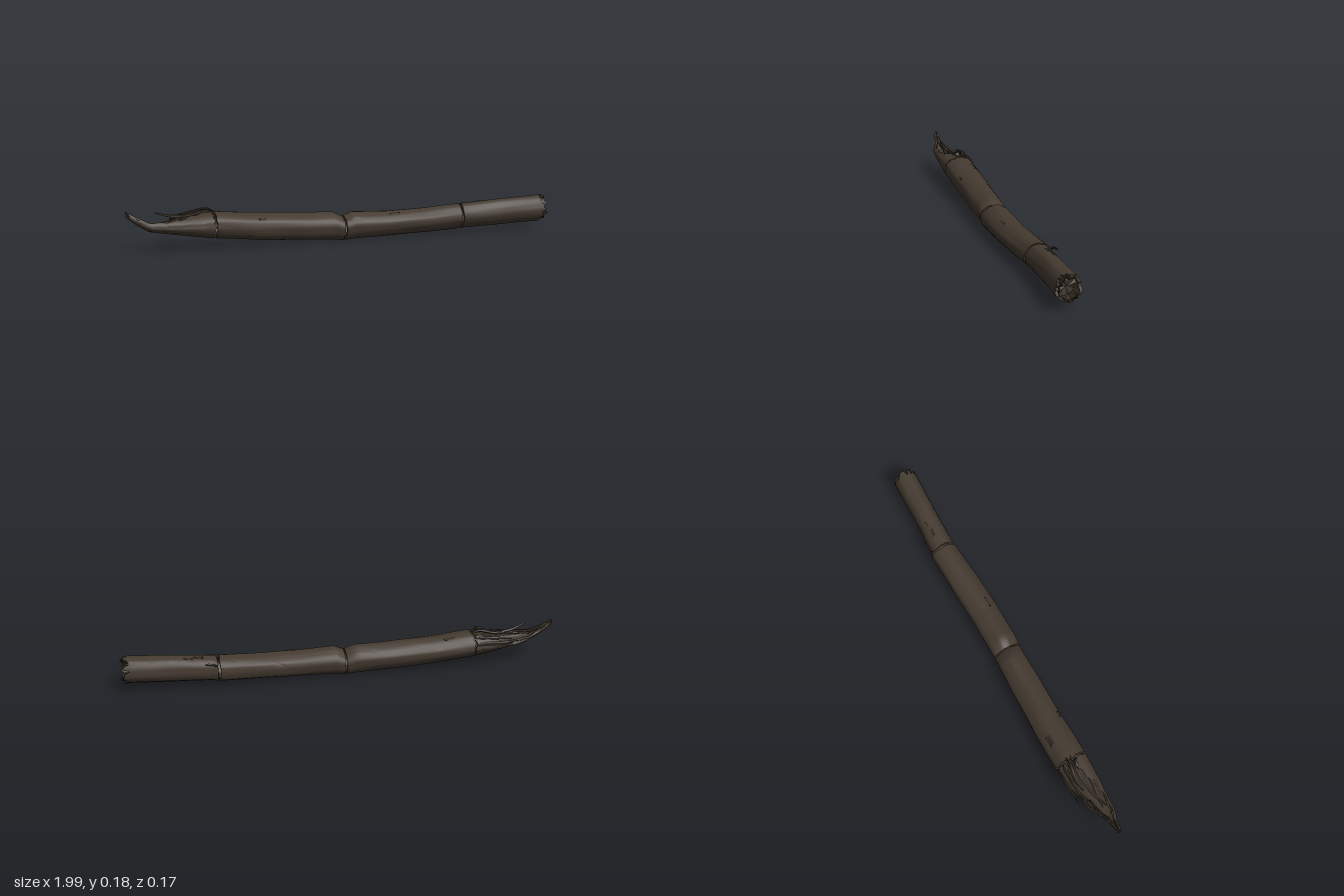
import * as THREE from 'three';
import { toCreasedNormals } from 'three/addons/utils/BufferGeometryUtils.js';

const TAU = Math.PI * 2;
const hash = (a, b) => {
  const s = Math.sin(a * 127.1 + b * 311.7) * 43758.5453;
  return s - Math.floor(s);
};

// Trunk cross-sections: x, top y, bottom y, back z, front z
const SECTIONS = [
  [-1.0, 0.187, 0.16, -0.012, 0.008], [-0.95, 0.158, 0.122, -0.012, 0.018],
  [-0.9, 0.135, 0.093, -0.02, 0.042], [-0.8, 0.142, 0.074, -0.05, 0.05],
  [-0.7, 0.155, 0.058, -0.078, 0.06], [-0.6, 0.162, 0.044, -0.085, 0.066],
  [-0.4, 0.146, 0.024, -0.08, 0.066], [-0.2, 0.136, 0.013, -0.068, 0.069],
  [-0.06, 0.132, 0.006, -0.06, 0.07], [-0.015, 0.112, 0.003, -0.055, 0.074],
  [0.03, 0.132, 0.006, -0.055, 0.077], [0.2, 0.124, 0.013, -0.055, 0.08],
  [0.4, 0.13, 0.018, -0.06, 0.072], [0.56, 0.138, 0.024, -0.064, 0.061],
  [0.58, 0.14, 0.026, -0.053, 0.057], [0.8, 0.154, 0.034, -0.04, 0.066],
  [1.0, 0.164, 0.04, -0.034, 0.077],
];

function sectionAt(x) {
  let i = 0;
  while (i < SECTIONS.length - 2 && x > SECTIONS[i + 1][0]) i++;
  const a = SECTIONS[i], b = SECTIONS[i + 1];
  const k = THREE.MathUtils.clamp((x - a[0]) / (b[0] - a[0]), 0, 1);
  const [, top, bottom, back, front] = a.map((v, n) => v + (b[n] - v) * k);
  return { cy: (top + bottom) / 2, cz: (back + front) / 2, ry: (top - bottom) / 2, rz: (front - back) / 2 };
}

// Point on the gently ridged bark, moved in or out by depth
function barkPoint(x, t, depth) {
  const s = sectionAt(x);
  const ridge = 1 + 0.022 * Math.sin(5 * t + 3 * x) + 0.014 * Math.sin(11 * t - 5 * x) + 0.01 * Math.sin(23 * x + 2 * t);
  const ry = Math.max(s.ry * ridge - depth, s.ry * 0.2);
  const rz = Math.max(s.rz * ridge - depth, s.rz * 0.2);
  return [x, s.cy + ry * Math.sin(t), s.cz + rz * Math.cos(t)];
}

// Thick bent shell from x0 to x1; arc(x) gives its start and end angle
function shell(x0, x1, { wall = 0.012, lift = 0, ragged0 = 0.004, ragged1 = 0.004, arc = () => [0, TAU], steps = 20, sides = 36 } = {}) {
  const pos = [], index = [], rows = 2 * (steps + 1);
  for (let r = 0; r < rows; r++) {
    const outer = r <= steps;
    const k = (outer ? r : rows - 1 - r) / steps;
    for (let j = 0; j <= sides; j++) {
      const a = x0 + ragged0 * (hash(j % sides, x0) - 0.5);
      const b = x1 + ragged1 * (hash(j % sides, x1) - 0.5);
      const x = a + (b - a) * k;
      const [t0, t1] = arc(x);
      pos.push(...barkPoint(x, t0 + (t1 - t0) * j / sides, outer ? -lift : wall - lift));
    }
  }
  const n = sides + 1;
  for (let r = 0; r < rows; r++) for (let j = 0; j < sides; j++) {
    const a = r * n + j, b = ((r + 1) % rows) * n + j;
    index.push(a, b, a + 1, b, b + 1, a + 1);
  }
  const g = new THREE.BufferGeometry();
  g.setAttribute('position', new THREE.Float32BufferAttribute(pos, 3));
  g.setIndex(index);
  return toCreasedNormals(g, 0.6);
}

// Tapered, flattened sliver of wood following a curve along x
function splinter(points, height, depth) {
  const curve = new THREE.CatmullRomCurve3(points.map(p => new THREE.Vector3(...p)));
  const g = new THREE.CylinderGeometry(1, 1, 1, 5, 10);
  const p = g.attributes.position;
  for (let i = 0; i < p.count; i++) {
    const v = p.getY(i) + 0.5, c = curve.getPoint(v);
    const w = (0.25 + 0.75 * Math.sin(Math.PI * Math.min(1, v * 0.8 + 0.1))) * (0.75 + 0.5 * hash(Math.round(v * 10), height * 100));
    p.setXYZ(i, c.x, c.y + p.getX(i) * height * w, c.z - p.getZ(i) * depth * w);
  }
  g.computeVertexNormals();
  return toCreasedNormals(g, 0.5);
}

export function createModel() {
  const log = new THREE.Group();
  log.name = 'brokenHollowLog';
  const bark = new THREE.MeshStandardMaterial({ color: 0x443a30, side: THREE.DoubleSide });
  bark.name = 'bark';
  const char = new THREE.MeshStandardMaterial({ color: 0x30281f, side: THREE.DoubleSide });
  char.name = 'charredWood';
  const add = (name, geometry, material = bark) => {
    const m = new THREE.Mesh(geometry, material);
    m.name = name;
    log.add(m);
    return m;
  };

  // Three hollow trunk lengths separated by narrow cracks
  add('rearMiddleTrunk', shell(-0.607, -0.019, { ragged0: 0.012, steps: 28 }));
  add('frontMiddleTrunk', shell(-0.011, 0.558, { steps: 28 }));
  add('endTrunk', shell(0.568, 0.968, { ragged1: 0.03 }));

  // Torn end, opened along its top and narrowing to a spike
  const opening = [[-1, 0.3], [-0.93, 0.7], [-0.85, 1.1], [-0.76, 0.95], [-0.68, 0.45], [-0.615, 0.05]];
  const tornArc = x => {
    let i = 0;
    while (i < opening.length - 2 && x > opening[i + 1][0]) i++;
    const [a, b] = [opening[i], opening[i + 1]];
    const k = THREE.MathUtils.clamp((x - a[0]) / (b[0] - a[0]), 0, 1);
    const half = a[1] + (b[1] - a[1]) * k + 0.12 * Math.sin(x * 90);
    return [1.95 + Math.max(half, 0.02), 1.95 + TAU - Math.max(half, 0.02)];
  };
  add('tornEnd', shell(-0.99, -0.616, { arc: tornArc, ragged0: 0.02, ragged1: 0.01, steps: 30 }));

  // Loose splinters over the torn end
  const splinters = [
    [[[-0.6, 0.163, -0.01], [-0.66, 0.163, -0.02], [-0.72, 0.15, -0.02], [-0.8, 0.153, -0.01], [-0.87, 0.174, 0.01]], 0.008, 0.01],
    [[[-0.6, 0.16, -0.03], [-0.64, 0.172, -0.035], [-0.7, 0.16, -0.045], [-0.76, 0.152, -0.04]], 0.008, 0.012],
    [[[-0.62, 0.12, -0.08], [-0.68, 0.125, -0.084], [-0.74, 0.12, -0.081], [-0.79, 0.127, -0.083]], 0.012, 0.006],
    [[[-0.62, 0.145, -0.06], [-0.7, 0.14, -0.06], [-0.79, 0.13, -0.058]], 0.007, 0.009],
    [[[-0.7, 0.14, 0.02], [-0.78, 0.135, 0.01], [-0.86, 0.125, 0.0]], 0.007, 0.009],
    [[[-0.8, 0.105, -0.03], [-0.88, 0.11, -0.02], [-0.95, 0.135, -0.01]], 0.008, 0.007],
    [[[-0.76, 0.09, -0.05], [-0.83, 0.1, -0.045], [-0.89, 0.105, -0.022]], 0.009, 0.007],
    [[[-0.62, 0.165, 0.0], [-0.635, 0.178, -0.008], [-0.665, 0.172, -0.012]], 0.006, 0.012],
  ];
  splinters.forEach(([points, h, d], i) => add('splinter' + (i + 1), splinter(points, h, d), i % 2 ? char : bark));

  // Inner wood protruding from the broken end in separate ragged staves
  for (let i = 0; i < 5; i++) {
    const a = -2.6 + i * 0.98;
    add('endStave' + (i + 1), shell(0.9, 0.983, {
      arc: () => [a, a + 0.78], lift: -0.011, wall: 0.006, ragged1: 0.022, steps: 4, sides: 7,
    }), char);
  }

  // Cracked wood inside the broken end
  const end = sectionAt(0.95);
  [[0.3, 1.9], [2.25, 1.7], [4.1, 1.75]].forEach(([start, length], i) => {
    const g = new THREE.CircleGeometry(0.043, 6, start, length);
    const p = g.attributes.position;
    for (let v = 1; v < p.count; v++) {
      const s = 0.88 + 0.22 * hash(v, i);
      p.setXYZ(v, p.getX(v) * s, p.getY(v) * s, 0.012 * (hash(i, v) - 0.5));
    }
    const plate = add('crackedCore' + (i + 1), toCreasedNormals(g, 0.2));
    plate.rotation.y = Math.PI / 2;
    plate.position.set(0.945 - i * 0.008, end.cy, end.cz);
  });

  // Small dark scars on the upper bark
  const scars = [[-0.515, -0.475, 2.0, 2.35], [0.635, 0.665, 1.7, 2.0], [0.68, 0.71, 1.9, 2.1], [0.2, 0.25, 1.0, 1.12], [-0.41, -0.385, 0.6, 0.8]];
  scars.forEach(([x0, x1, t0, t1], i) => add('barkScar' + (i + 1), shell(x0, x1, {
    arc: () => [t0, t1], lift: 0.002, wall: 0.004, ragged0: 0.015, ragged1: 0.015, steps: 3, sides: 5,
  }), char));

  // Short broken twig
  add('twigStub', splinter([[0.57, 0.11, -0.05], [0.59, 0.122, -0.058], [0.625, 0.128, -0.062]], 0.006, 0.006), char);
  return log;
}
